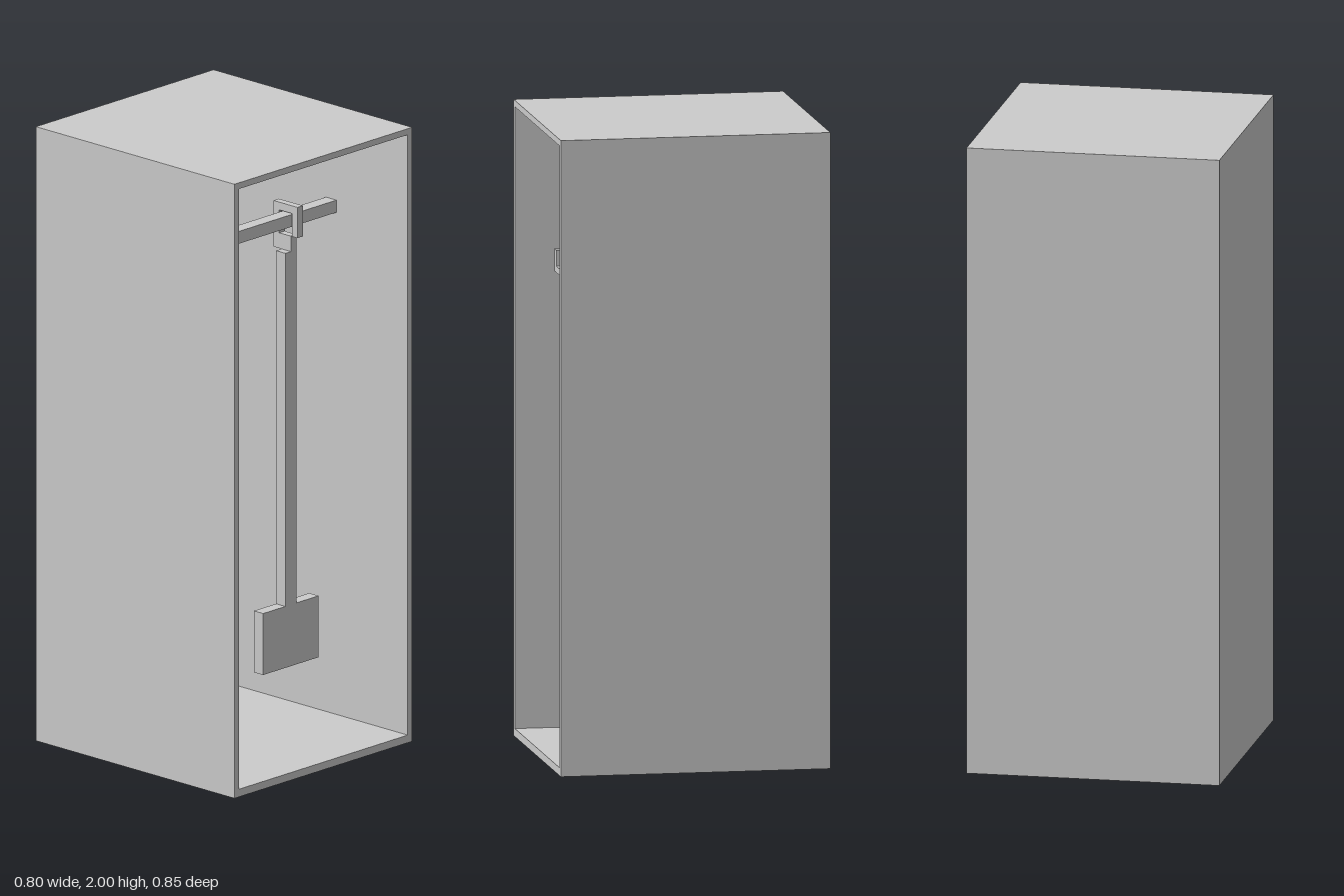
import * as THREE from 'three';

const material = new THREE.MeshStandardMaterial({ color: 0xcccccc, flatShading: true });

// Box given by its [min, max] range on each axis
function box(parent, name, [x0, x1], [y0, y1], [z0, z1]) {
  const mesh = new THREE.Mesh(new THREE.BoxGeometry(x1 - x0, y1 - y0, z1 - z0), material);
  mesh.position.set((x0 + x1) / 2, (y0 + y1) / 2, (z0 + z1) / 2);
  mesh.name = name;
  parent.add(mesh);
  return mesh;
}

// Outline from corner points
function outline(points, Type = THREE.Shape) {
  return new Type(points.map(([x, y]) => new THREE.Vector2(x, y)));
}

function rect(x0, x1, y0, y1, Type) {
  return outline([[x0, y0], [x1, y0], [x1, y1], [x0, y1]], Type);
}

// Shape in the xy plane extruded from z0 to z1
function extrude(parent, name, shape, z0, z1) {
  const geometry = new THREE.ExtrudeGeometry(shape, { depth: z1 - z0, bevelEnabled: false });
  geometry.translate(0, 0, z0);
  const mesh = new THREE.Mesh(geometry, material);
  mesh.name = name;
  parent.add(mesh);
  return mesh;
}

function group(parent, name) {
  const g = new THREE.Group();
  g.name = name;
  parent.add(g);
  return g;
}

export function createModel() {
  const model = new THREE.Group();
  model.name = 'toolLocker';

  // Open-fronted cabinet
  const cabinet = group(model, 'cabinet');
  const frame = rect(-0.4, 0.4, 0, 2);
  frame.holes.push(rect(-0.38, 0.38, 0.025, 1.98, THREE.Path));
  extrude(cabinet, 'cabinetWalls', frame, -0.4, 0.425);
  box(cabinet, 'backPanel', [-0.4, 0.4], [0, 2], [-0.425, -0.4]);

  // Hanging rail across the top
  box(model, 'hangingRail', [-0.38, 0.38], [1.66, 1.7], [0.075, 0.12]);

  // Three wall hooks
  for (const z of [0, 0.15, 0.3]) {
    const hook = outline([[-0.38, 1.46], [-0.28, 1.46], [-0.28, 1.48],
      [-0.35, 1.48], [-0.35, 1.53], [-0.38, 1.53]]);
    extrude(model, 'wallHook', hook, z - 0.025, z);
  }

  // Long tool hung from the rail
  const tool = group(model, 'hangingTool');
  box(tool, 'toolBlade', [0.05, 0.3], [0.23, 0.43], [0.08, 0.12]);
  box(tool, 'toolHandle', [0.15, 0.2], [0.43, 1.58], [0.08, 0.12]);
  // Hook profile drawn in (z, y), then turned to face along x
  const hookProfile = outline([[0.12, 1.58], [0.12, 1.63], [0.07, 1.63], [0.07, 1.705],
    [0.125, 1.705], [0.125, 1.63], [0.148, 1.63], [0.148, 1.73], [0.045, 1.73], [0.045, 1.58]]);
  const toolHook = extrude(tool, 'toolHook', hookProfile, 0, 0.025);
  toolHook.rotation.y = -Math.PI / 2;
  toolHook.position.x = 0.2;

  // Stepped pile against the left-hand wall of the opening
  const pile = outline([[-0.38, 0.025], [-0.205, 0.025], [-0.205, 0.2], [-0.225, 0.2],
    [-0.225, 0.3], [-0.255, 0.3], [-0.255, 0.33], [-0.28, 0.33], [-0.28, 0.35],
    [-0.3, 0.35], [-0.3, 0.4], [-0.38, 0.4]]);
  extrude(model, 'steppedPile', pile, -0.11, 0.12);

  // Spade standing in the pile
  const spade = group(model, 'spade');
  const spadeX = [-0.35, -0.33];
  box(spade, 'spadeBlade', spadeX, [0.33, 0.43], [-0.12, 0.13]);
  box(spade, 'spadeHandle', spadeX, [0.43, 0.655], [-0.01, 0.025]);
  const grip = rect(-0.045, 0.065, 0.655, 0.73);
  grip.holes.push(rect(-0.02, 0.04, 0.68, 0.705, THREE.Path));
  const gripMesh = extrude(spade, 'spadeGrip', grip, 0, 0.02);
  gripMesh.rotation.y = -Math.PI / 2;
  gripMesh.position.x = -0.33;

  return model;
}
